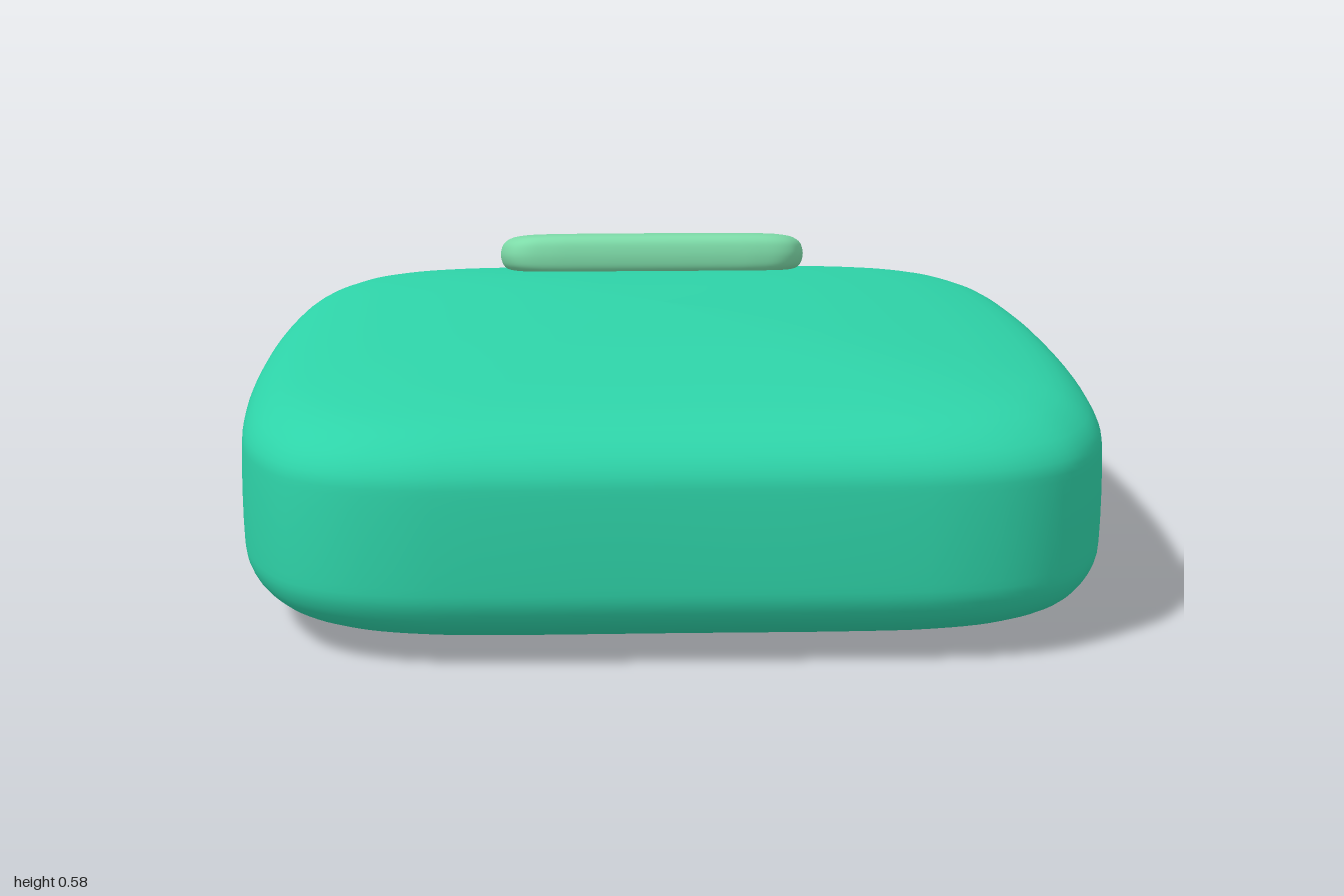
import * as THREE from 'three';

// Mirrors a quarter outline (from the +x axis to the +z axis) into a smooth closed loop.
function closedOutline(quarter, count) {
  const inner = quarter.slice(1, -1);
  const half = [...quarter, ...inner.slice().reverse().map(([x, z]) => [-x, z])];
  const loop = [...half, ...half.map(([x, z]) => [-x, -z])];
  const curve = new THREE.CatmullRomCurve3(loop.map(([x, z]) => new THREE.Vector3(x, 0, z)), true, 'centripetal');
  return Array.from({ length: count }, (_, i) => curve.getPoint(i / count));
}

// Soft slab: the outline is scaled and lifted along a profile of [scale, height], bottom to top.
function softSlab(quarter, profile, around = 128, up = 48) {
  const outline = closedOutline(quarter, around);
  const path = new THREE.CatmullRomCurve3(profile.map(([s, y]) => new THREE.Vector3(s, y, 0)), false, 'centripetal');
  const positions = [];
  const indices = [];
  for (let j = 0; j <= up; j++) {
    const { x: scale, y } = path.getPoint(j / up);
    for (const p of outline) positions.push(p.x * scale, y, p.z * scale);
  }
  for (let j = 0; j < up; j++) {
    for (let i = 0; i < around; i++) {
      const a = j * around + i;
      const b = j * around + (i + 1) % around;
      if (j < up - 1) indices.push(a, a + around, b + around);
      else indices.push(a, a + around, b);
      if (j > 0 && j < up - 1) indices.push(a, b + around, b);
      
    }
  }
  const geometry = new THREE.BufferGeometry();
  geometry.setAttribute('position', new THREE.Float32BufferAttribute(positions, 3));
  geometry.setIndex(indices);
  geometry.computeVertexNormals();
  return geometry;
}

export function createModel() {
  const model = new THREE.Group();
  model.name = 'softCase';

  const bodyGreen = new THREE.MeshStandardMaterial({ color: 0x2ed3a8 });
  bodyGreen.name = 'body green';
  const paleGreen = new THREE.MeshStandardMaterial({ color: 0x7ddba8 });
  paleGreen.name = 'pale green';

  // Pillow-shaped body with a gently domed top
  const body = new THREE.Mesh(softSlab(
    [[0.885, 0], [0.876, 0.35], [0.845, 0.65], [0.8, 0.79], [0.74, 0.89], [0.65, 0.955], [0.53, 0.99], [0.38, 1], [0, 1]],
    [[0, 0], [0.4, 0.005], [0.7, 0.016], [0.82, 0.028], [0.91, 0.048], [0.97, 0.083], [0.995, 0.125], [1, 0.17],
      [1, 0.33], [0.995, 0.37], [0.97, 0.408], [0.91, 0.447], [0.8, 0.473], [0.65, 0.492], [0.42, 0.511], [0, 0.525]],
  ), bodyGreen);
  body.name = 'body';
  model.add(body);

  // Rounded tab near the back edge, tilted to follow the dome
  const tab = new THREE.Mesh(softSlab(
    [[0.37, 0], [0.366, 0.06], [0.352, 0.12], [0.335, 0.15], [0.305, 0.169], [0.25, 0.178], [0.18, 0.18], [0, 0.18]],
    [[0, -0.05], [0.6, -0.049], [0.85, -0.046], [0.94, -0.038], [0.985, -0.024], [1, -0.006],
      [1, 0.006], [0.985, 0.024], [0.94, 0.038], [0.85, 0.046], [0.6, 0.049], [0, 0.05]],
  ), paleGreen);
  tab.name = 'tab';
  tab.position.set(0, 0.515, -0.74);
  tab.rotation.x = -0.14;
  model.add(tab);

  return model;
}
